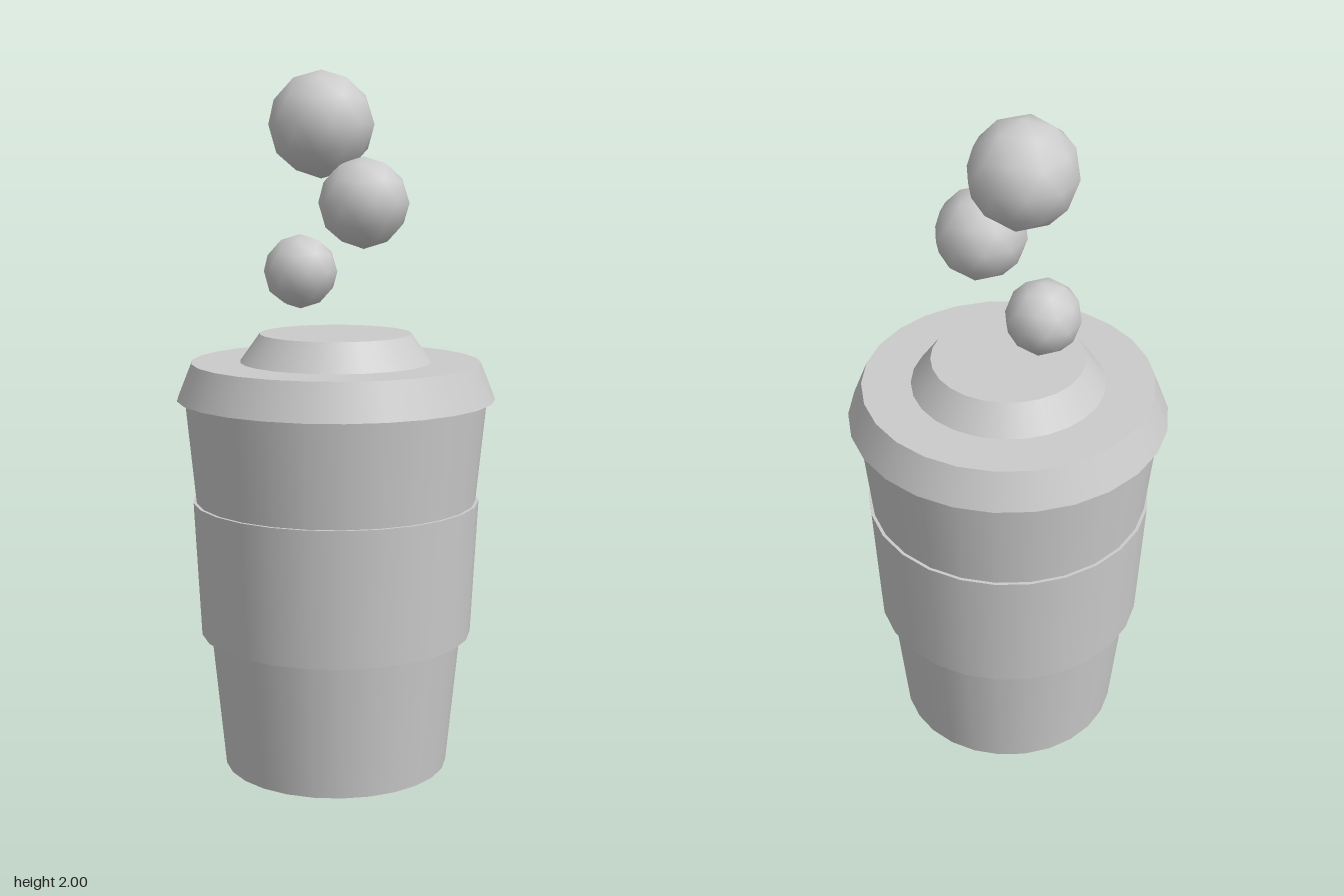
import * as THREE from 'three';

const SIDES = 26;

export function createModel() {
  const group = new THREE.Group();
  const material = new THREE.MeshStandardMaterial({ color: 0xcccccc });

  const add = (name, geometry, x, y) => {
    const mesh = new THREE.Mesh(geometry, material);
    mesh.name = name;
    mesh.position.set(x, y, 0);
    group.add(mesh);
  };

  // Closed tapered drum between two heights
  const drum = (name, rBottom, rTop, y0, y1) =>
    add(name, new THREE.CylinderGeometry(rTop, rBottom, y1 - y0, SIDES), 0, (y0 + y1) / 2);

  // Cup with its sleeve
  drum('cup', 0.325, 0.432, 0, 1.08);
  drum('sleeve', 0.392, 0.412, 0.395, 0.785);

  // Lid with a raised centre
  drum('lidRim', 0.455, 0.413, 1.08, 1.185);
  drum('lidDome', 0.274, 0.217, 1.185, 1.265);

  // Steam puffs: coarse smooth balls, one icosahedron corner pointing up
  const tilt = -Math.atan(2 / (1 + Math.sqrt(5)));
  const puffs = [
    ['steamPuffSmall', 0.106, -0.111, 1.437],
    ['steamPuffMedium', 0.128, 0.086, 1.634],
    ['steamPuffLarge', 0.15, -0.045, 1.85],
  ];
  for (const [name, radius, x, y] of puffs) {
    add(name, new THREE.IcosahedronGeometry(radius, 1).rotateZ(tilt), x, y);
  }

  return group;
}
